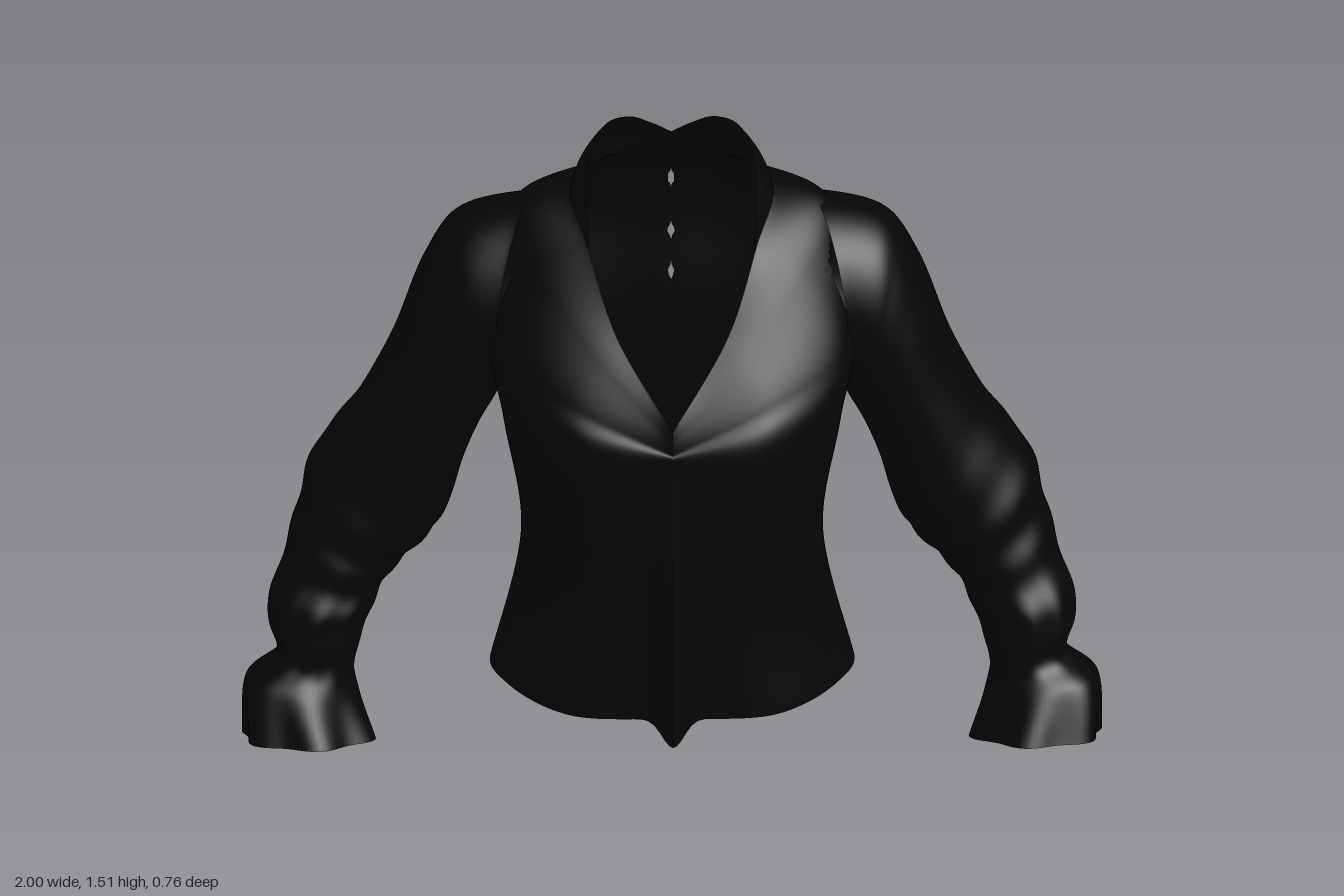
import * as THREE from 'three';
import { mergeVertices } from 'three/addons/utils/BufferGeometryUtils.js';

const cloth = new THREE.MeshStandardMaterial({ color: 0x050505, side: THREE.DoubleSide });
cloth.name = 'black cloth';

// Catmull-Rom through a list of equal-length number lists
function spline(list, t) {
  const n = list.length - 1;
  const i = Math.min(Math.floor(t * n), n - 1);
  const f = t * n - i;
  const a = list[Math.max(i - 1, 0)], b = list[i], c = list[i + 1], d = list[Math.min(i + 2, n)];
  return b.map((_, k) => 0.5 * (2 * b[k] + (c[k] - a[k]) * f
    + (2 * a[k] - 5 * b[k] + 4 * c[k] - d[k]) * f * f
    + (3 * b[k] - a[k] - 3 * c[k] + d[k]) * f * f * f));
}

// Smooth grid surface from point(u, v), mirrored by side, leaving out cells inside a hole
function surface(name, point, nu, nv, side, inHole = () => false) {
  const pos = [], idx = [];
  for (let j = 0; j <= nv; j++) {
    for (let i = 0; i <= nu; i++) {
      const [x, y, z] = point(i / nu, j / nv);
      pos.push(x * side, y, z);
      if (i < nu && j < nv && !inHole(x, y, z)) {
        const a = j * (nu + 1) + i, b = a + 1, c = a + nu + 1, d = c + 1;
        if (side > 0) idx.push(a, c, b, b, c, d);
        else idx.push(a, b, c, b, d, c);
      }
    }
  }
  let geo = new THREE.BufferGeometry();
  geo.setAttribute('position', new THREE.Float32BufferAttribute(pos, 3));
  geo.setIndex(idx);
  geo = mergeVertices(geo, 1e-5);
  geo.computeVertexNormals();
  const mesh = new THREE.Mesh(geo, cloth);
  mesh.name = name;
  return mesh;
}

const bell = (x, c, w) => Math.exp(-(((x - c) / w) ** 2));

// Half-torso sections from centre back to centre front, hem up to neckline
const torsoRows = [
  [[0, 0.165, -0.365], [0.26, 0.2, -0.3], [0.413, 0.25, 0.01], [0.375, 0.25, 0.145], [0.225, 0.25, 0.258], [0, 0.26, 0.28]],
  [[0, 0.55, -0.362], [0.21, 0.56, -0.31], [0.335, 0.57, -0.06], [0.31, 0.57, 0.1], [0.19, 0.57, 0.225], [0, 0.57, 0.27]],
  [[0, 0.92, -0.35], [0.24, 0.93, -0.32], [0.355, 0.93, -0.08], [0.35, 0.93, 0.12], [0.2, 0.94, 0.25], [0, 0.92, 0.27]],
  [[0, 1.18, -0.38], [0.22, 1.18, -0.36], [0.38, 1.15, -0.14], [0.375, 1.11, 0.06], [0.21, 1.06, 0.2], [0, 0.98, 0.262]],
  [[0, 1.3, -0.368], [0.17, 1.31, -0.345], [0.34, 1.352, -0.17], [0.29, 1.28, 0.0], [0.16, 1.145, 0.15], [0, 1.01, 0.256]],
  [[0, 1.37, -0.335], [0.1, 1.385, -0.315], [0.215, 1.395, -0.16], [0.178, 1.33, 0.0], [0.115, 1.18, 0.125], [0, 1.03, 0.25]],
];

function torsoPoint(u, v) {
  let [x, y, z] = spline(torsoRows.map((row) => spline(row, u)), v);
  // pinched front placket, growing towards the hem
  if (z > 0) z += 0.1 * bell(x, 0, 0.035) * THREE.MathUtils.clamp((0.92 - y) / 0.66, 0, 1);
  // small openings along the back fastening
  if (u === 0) x = 0.014 * bell(y, 1.28, 0.014) + 0.009 * bell(y, 1.14, 0.012) + 0.008 * bell(y, 1.04, 0.012);
  return [x, y, z];
}

// Armhole cut out of the torso where the sleeve joins
const inArmhole = (x, y, z) => x > 0.25 && ((y - 1.14) / 0.19) ** 2 + ((z + 0.14) / 0.14) ** 2 < 1;

// Half-collar, rising from the neckline between centre back and shoulder front
const collarTop = [[0, 1.44, -0.3], [0.045, 1.472, -0.285], [0.095, 1.507, -0.25], [0.148, 1.503, -0.21], [0.18, 1.45, -0.12], [0.176, 1.355, 0.005]];

function collarPoint(u, v) {
  const a = spline(torsoRows[5], u * 0.6), b = spline(collarTop, u);
  const bulge = 0.01 * Math.sin(Math.PI * v) * Math.sin(Math.PI * u);
  const p = a.map((k, i) => k + (b[i] - k) * v);
  return [p[0] + bulge, p[1], p[2] - bulge];
}

// Sleeve rings: outer x, y, inner x, y, centre z, depth radius, forward tilt
const sleeveRings = [
  [0.31, 1.365, 0.355, 0.92, -0.147, 0.18, 0],
  [0.46, 1.325, 0.385, 0.885, -0.148, 0.18, 0],
  [0.545, 1.2, 0.43, 0.8, -0.152, 0.178, 0],
  [0.62, 1.01, 0.47, 0.7, -0.15, 0.177, 0],
  [0.705, 0.85, 0.508, 0.575, -0.145, 0.177, 0],
  [0.815, 0.7, 0.555, 0.505, -0.13, 0.17, 0],
  [0.87, 0.53, 0.64, 0.425, -0.09, 0.145, 0.01],
  [0.925, 0.37, 0.7, 0.34, -0.01, 0.112, 0.02],
  [0.91, 0.265, 0.735, 0.225, 0.025, 0.094, 0.02],
  [0.985, 0.2, 0.725, 0.15, 0.05, 0.118, 0.04],
  [0.995, 0.07, 0.693, 0.062, 0.105, 0.127, 0.06],
];

function sleevePoint(u, v) {
  const [ox, oy, ix, iy, zc, zr, tilt] = spline(sleeveRings, v);
  const a = (u % 1) * Math.PI * 2;
  // gathered folds above the wrist, flutes on the cuff frill
  const gather = 0.03 * bell(v, 0.6, 0.14) * Math.sin(v * 75 + 2 * Math.sin(a) + Math.cos(2 * a));
  const pleat = 0.04 * bell(v, 0.74, 0.08) * Math.sin(9 * a);
  const flute = 0.07 * THREE.MathUtils.smoothstep(v, 0.82, 1) * Math.sin(6 * a + Math.PI);
  const r = 1 + gather + pleat + flute;
  const c = Math.cos(a) * r, s = Math.sin(a) * r;
  // the shoulder seam follows the torso, further in at the back
  const seam = 0.045 * s * Math.max(0, 1 - v * 8);
  return [
    (ox + ix) / 2 + c * (ox - ix) / 2 + seam,
    (oy + iy) / 2 + c * (oy - iy) / 2 + s * tilt,
    zc + s * zr,
  ];
}

export function createModel() {
  const blouse = new THREE.Group();
  blouse.name = 'blouse';
  for (const [label, side] of [['left', 1], ['right', -1]]) {
    blouse.add(
      surface(label + 'Torso', torsoPoint, 80, 120, side, inArmhole),
      surface(label + 'Collar', collarPoint, 32, 8, side),
      surface(label + 'Sleeve', sleevePoint, 72, 110, side),
    );
  }
  return blouse;
}
